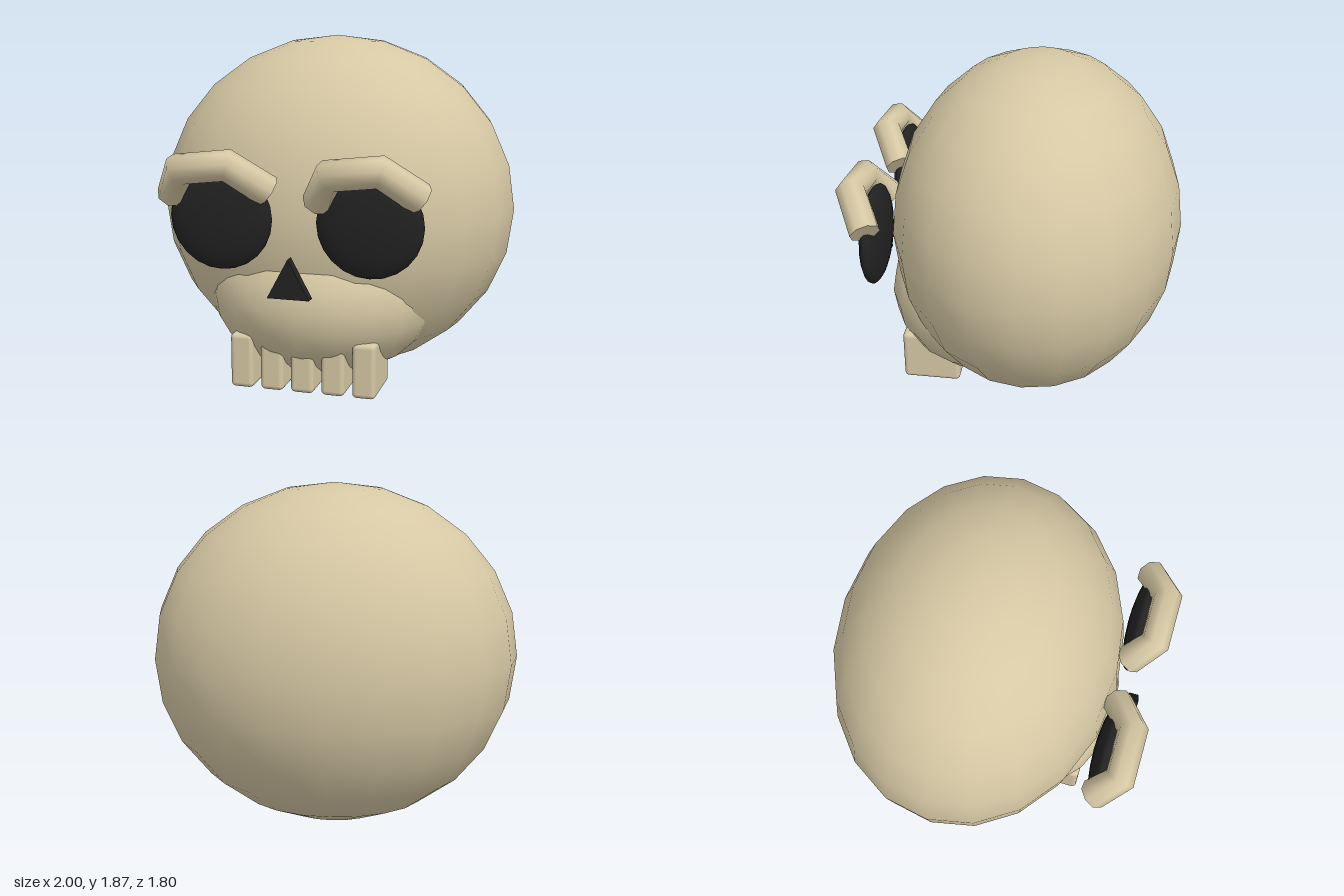
import * as THREE from 'three';
import { RoundedBoxGeometry } from 'three/addons/geometries/RoundedBoxGeometry.js';

const bone = new THREE.MeshStandardMaterial({ color: 0xd6c8a4 });
bone.name = 'bone';
const dark = new THREE.MeshStandardMaterial({ color: 0x222222 });
dark.name = 'dark';

// Bent path of straight pieces; tangents average at the joints, so the tube is mitred
class Polyline extends THREE.Curve {
  constructor(points) {
    super();
    this.points = points;
  }
  getPoint(t, target = new THREE.Vector3()) {
    const n = this.points.length - 1;
    const i = Math.min(Math.floor(t * n), n - 1);
    return target.lerpVectors(this.points[i], this.points[i + 1], t * n - i);
  }
  getPointAt(u, target) { return this.getPoint(u, target); }
  getTangentAt(u, target) { return this.getTangent(u, target); }
}

// Flat cap over the ring of tube vertices that begins at index start
function ringCap(tube, start, sides, flip) {
  const p = tube.attributes.position;
  const at = (i) => new THREE.Vector3().fromBufferAttribute(p, start + i);
  const corners = [];
  for (let i = 1; i < sides - 1; i++) {
    corners.push(...(flip ? [at(0), at(i + 1), at(i)] : [at(0), at(i), at(i + 1)]));
  }
  const cap = new THREE.BufferGeometry().setFromPoints(corners);
  cap.computeVertexNormals();
  return cap;
}

export function createModel() {
  const model = new THREE.Group();
  model.name = 'skull';

  function add(name, geometry, material, parent = model) {
    const mesh = new THREE.Mesh(geometry, material);
    mesh.name = name;
    parent.add(mesh);
    return mesh;
  }

  function ellipsoid(name, material, radii, position) {
    const mesh = add(name, new THREE.SphereGeometry(1, 20, 12), material);
    mesh.scale.set(...radii);
    mesh.position.set(...position);
  }

  // Head and upper jaw
  ellipsoid('cranium', bone, [1, 0.937, 0.797], [0, 0.942, -0.105]);
  ellipsoid('jaw', bone, [0.64, 0.46, 0.58], [0, 0.5, 0.15]);

  // Eye sockets and brows; both brows have the same uneven bend
  const sides = 8;
  const browPath = new Polyline([
    new THREE.Vector3(-0.265, 1.09, 0.71),
    new THREE.Vector3(-0.185, 1.24, 0.82),
    new THREE.Vector3(0.075, 1.27, 0.82),
    new THREE.Vector3(0.25, 1.13, 0.71),
  ]);
  const browTube = new THREE.TubeGeometry(browPath, 3, 0.082, sides);
  const caps = [
    ringCap(browTube, 0, sides, false),
    ringCap(browTube, 3 * (sides + 1), sides, true),
  ];
  // Turn each cap outward
  caps.forEach((cap, i) => {
    const out = browPath.getTangentAt(i).multiplyScalar(i ? 1 : -1);
    const n = new THREE.Vector3().fromBufferAttribute(cap.attributes.normal, 0);
    if (n.dot(out) < 0) {
      caps[i] = ringCap(browTube, i * 3 * (sides + 1), sides, i === 0);
    }
  });

  for (const [side, x] of [['left', 0.39], ['right', -0.39]]) {
    ellipsoid(side + 'EyeSocket', dark, [0.275, 0.27, 0.065], [x, 0.985, 0.72]);
    const brow = new THREE.Group();
    brow.name = side + 'Brow';
    brow.position.x = x;
    add('browRidge', browTube, bone, brow);
    caps.forEach((cap) => add('browEnd', cap, bone, brow));
    model.add(brow);
  }

  // Triangular nose opening
  const triangle = new THREE.Shape([
    new THREE.Vector2(-0.11, 0.61),
    new THREE.Vector2(0.11, 0.61),
    new THREE.Vector2(0, 0.815),
  ]);
  const nose = add('nose', new THREE.ExtrudeGeometry(triangle, { depth: 0.055, bevelEnabled: false }), dark);
  nose.position.z = 0.775;

  // Row of teeth
  const toothShape = new RoundedBoxGeometry(0.125, 0.295, 0.322, 2, 0.025);
  for (let i = -2; i <= 2; i++) {
    const tooth = add('tooth', toothShape, bone);
    tooth.position.set(i * 0.1665, 0.188, 0.454);
  }

  return model;
}
